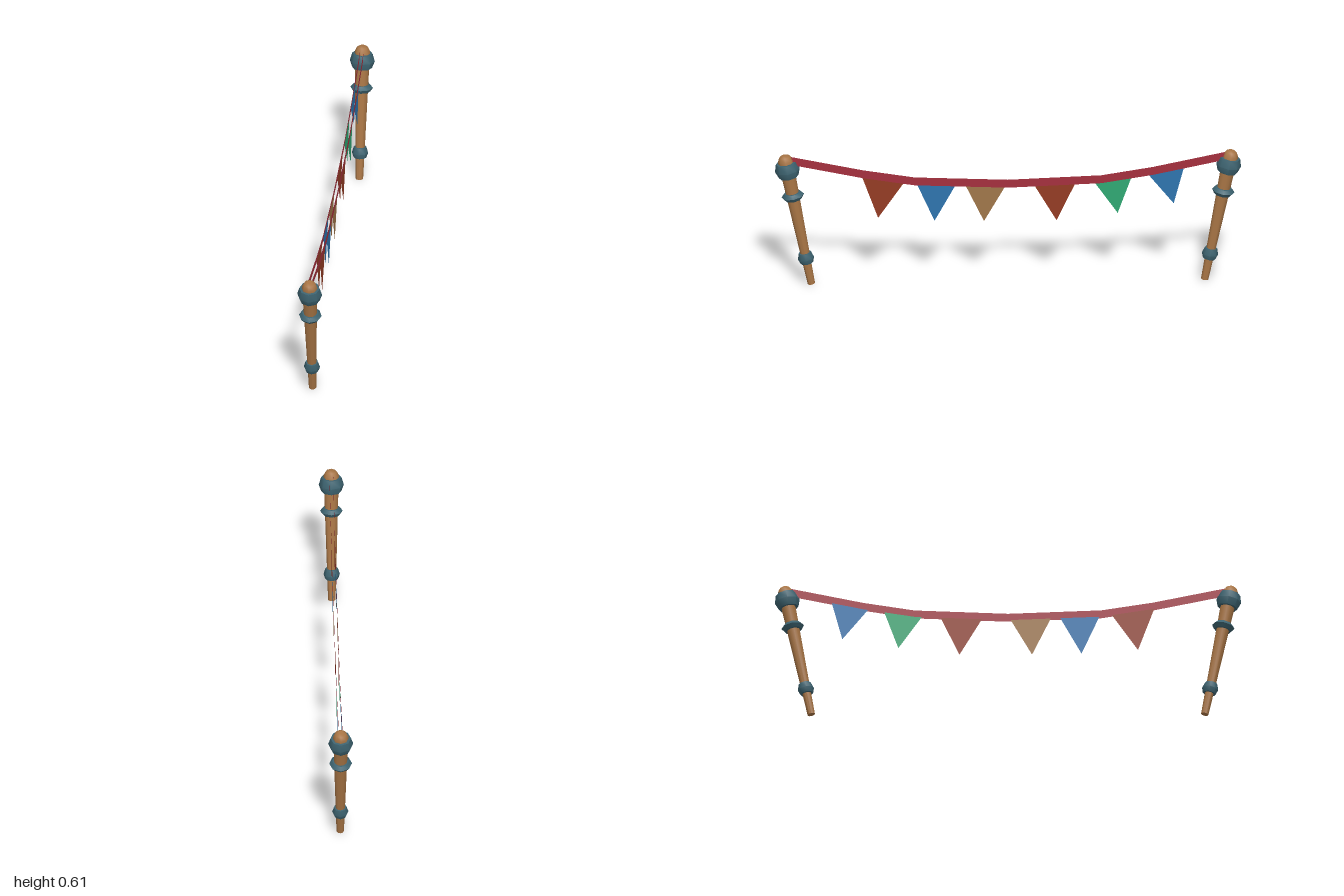
import * as THREE from 'three';
import { toCreasedNormals } from 'three/addons/utils/BufferGeometryUtils.js';

const mat = (name, color, side = THREE.FrontSide) => {
  const m = new THREE.MeshStandardMaterial({ color, side });
  m.name = name;
  return m;
};

export function createModel() {
  const wood = mat('wood', 0xa87545);
  const band = mat('slateBlue', 0x3d6370);
  const D = THREE.DoubleSide;
  const ropeRed = mat('ropeRed', 0xa4303e, D);
  const rust = mat('rust', 0x943c24, D);
  const blue = mat('blue', 0x2e74ae, D);
  const tan = mat('tan', 0xa0764a, D);
  const green = mat('green', 0x2fa873, D);

  const model = new THREE.Group();
  model.name = 'bunting';

  // Turned part from [radius, height] pairs, bottom to top
  const turned = (name, profile, sides, material) => {
    const points = profile.map(([r, y]) => new THREE.Vector2(r, y));
    const geo = toCreasedNormals(new THREE.LatheGeometry(points, sides), 0.85);
    const mesh = new THREE.Mesh(geo, material);
    mesh.name = name;
    return mesh;
  };

  // Leaning post with three bands and a domed cap
  const makePost = (name, turn) => {
    const lean = new THREE.Group();
    lean.add(
      turned('shaft', [[0, 0], [0.016, 0], [0.031, 0.53], [0, 0.53]], 12, wood),
      turned('lowerBand', [[0, 0.1], [0.028, 0.1], [0.035, 0.121], [0.027, 0.148], [0, 0.148]], 8, band),
      turned('middleBand', [[0, 0.405], [0.038, 0.405], [0.049, 0.421], [0.036, 0.436], [0, 0.436]], 8, band),
      turned('upperBand', [[0, 0.513], [0.043, 0.513], [0.054, 0.544], [0.044, 0.578], [0, 0.578]], 8, band),
      turned('cap', [[0, 0.57], [0.034, 0.57], [0.033, 0.588], [0.024, 0.606], [0.01, 0.614], [0, 0.614]], 8, wood),
    );
    lean.position.set(0, 0.003, 0.843);
    lean.rotation.x = 0.19;
    const post = new THREE.Group();
    post.name = name;
    post.add(lean);
    post.rotation.y = turn;
    model.add(post);
  };
  makePost('frontPost', 0);
  makePost('backPost', Math.PI);

  // Pair of thin cloth sheets, outlined by [z, y] points
  const sheets = (name, outline, material, gap) => {
    const shape = new THREE.Shape(outline.map(([z, y]) => new THREE.Vector2(-z, y)));
    const geo = new THREE.ShapeGeometry(shape).rotateY(Math.PI / 2);
    const pair = new THREE.Group();
    pair.name = name;
    for (const x of [gap, -gap]) {
      const sheet = new THREE.Mesh(geo, material);
      sheet.name = name + 'Sheet';
      sheet.position.x = x;
      pair.add(sheet);
    }
    model.add(pair);
  };

  // Sagging rope
  const sag = [[0.95, 0.583], [0.62, 0.512], [0.4, 0.476], [0, 0.46],
    [-0.4, 0.476], [-0.62, 0.512], [-0.95, 0.583]];
  const half = 0.015;
  sheets('rope', [
    ...sag.map(([z, y]) => [z, y + half]),
    ...[...sag].reverse().map(([z, y]) => [z, y - half]),
  ], ropeRed, 0.008);

  // Height of the rope at z
  const ropeY = (z) => {
    const i = sag.findIndex((p) => p[0] <= z);
    const [z0, y0] = sag[i - 1], [z1, y1] = sag[i];
    return y0 + (y1 - y0) * (z - z0) / (z1 - z0);
  };

  // Pennants: front corner, back corner, tip z, tip y, colour
  [
    [0.63, 0.44, 0.557, 0.31, rust],
    [0.395, 0.22, 0.315, 0.293, blue],
    [0.187, 0.007, 0.103, 0.289, tan],
    [-0.107, -0.293, -0.208, 0.289, rust],
    [-0.364, -0.533, -0.47, 0.32, green],
    [-0.594, -0.757, -0.71, 0.362, blue],
  ].forEach(([a, b, tipZ, tipY, material], i) => {
    sheets('pennant' + (i + 1), [[a, ropeY(a)], [tipZ, tipY], [b, ropeY(b)]], material, 0.007);
  });

  return model;
}
